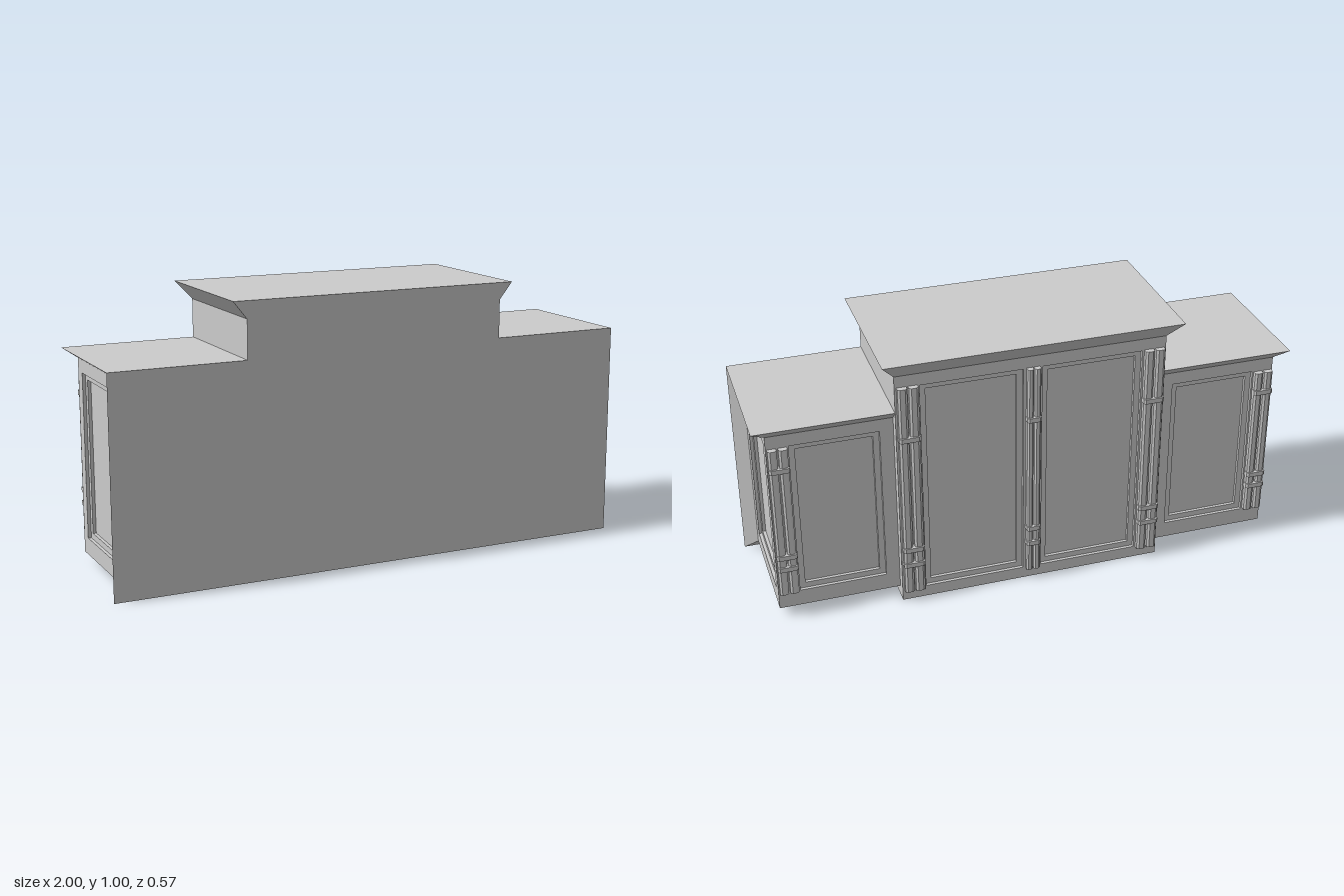
import * as THREE from 'three';
import { ConvexGeometry } from 'three/addons/geometries/ConvexGeometry.js';

const STEP = 0.012;   // depth of each panel step
const INSET = 0.022;  // width of the step around a panel
const material = new THREE.MeshStandardMaterial({ color: 0xcccccc, flatShading: true });

function add(parent, name, geometry) {
  const mesh = new THREE.Mesh(geometry, material);
  mesh.name = name;
  parent.add(mesh);
  return mesh;
}

// Box given by its ranges
function block(parent, name, x0, x1, y0, y1, z0, z1) {
  const geometry = new THREE.BoxGeometry(Math.abs(x1 - x0), y1 - y0, z1 - z0);
  geometry.translate((x0 + x1) / 2, (y0 + y1) / 2, (z0 + z1) / 2);
  return add(parent, name, geometry);
}

// Solid flaring from one box face to another; each end is [x0, x1, y0, y1, z0, z1] with one flat axis
function flare(parent, name, a, b) {
  const points = [];
  for (const r of [a, b])
    for (const x of new Set([r[0], r[1]]))
      for (const y of new Set([r[2], r[3]]))
        for (const z of new Set([r[4], r[5]])) points.push(new THREE.Vector3(x, y, z));
  return add(parent, name, new ConvexGeometry(points));
}

function rectangle(PathType, [u0, u1, v0, v1]) {
  return new PathType([[u0, v0], [u1, v0], [u1, v1], [u0, v1]].map(p => new THREE.Vector2(...p)));
}

// Two stacked frames facing local +z, leaving stepped recesses at the openings
function panelFrames(parent, name, rect, openings) {
  const group = new THREE.Group();
  group.name = name;
  for (let layer = 0; layer < 2; layer++) {
    const shape = rectangle(THREE.Shape, rect);
    const i = layer * INSET;
    for (const [a, b, c, d] of openings) {
      shape.holes.push(rectangle(THREE.Path, [a + i, b - i, c + i, d - i]));
    }
    const geometry = new THREE.ExtrudeGeometry(shape, { depth: STEP, bevelEnabled: false });
    geometry.translate(0, 0, -STEP * (layer + 1));
    add(group, layer ? 'innerFrame' : 'outerFrame', geometry);
  }
  parent.add(group);
  return group;
}

// Upright bar with chamfered face, standing out from z towards -z
function bar(parent, name, x, width, y0, y1, z, depth) {
  const h = width / 2;
  const c = Math.min(h * 0.5, 0.008);
  const profile = [[-h, -0.002], [h, -0.002], [h, depth - 0.006], [h - c, depth], [c - h, depth], [-h, depth - 0.006]];
  const shape = new THREE.Shape(profile.map(p => new THREE.Vector2(...p)));
  const geometry = new THREE.ExtrudeGeometry(shape, { depth: y1 - y0, bevelEnabled: false });
  geometry.rotateX(-Math.PI / 2);
  geometry.translate(x, y0, z);
  return add(parent, name, geometry);
}

// Pair of ridges held by three clasps
function post(parent, x, width, y0, y1, z, claspHeights) {
  const group = new THREE.Group();
  group.name = 'post';
  const ridge = width * 0.46;
  for (const s of [-1, 1]) bar(group, 'ridge', x + s * (width - ridge) / 2, ridge, y0, y1, z, 0.021);
  for (const y of claspHeights) bar(group, 'clasp', x, width + 0.004, y - 0.009, y + 0.009, z, 0.027);
  parent.add(group);
}

function createCentre() {
  const group = new THREE.Group();
  group.name = 'centreCabinet';
  block(group, 'centreBody', -0.5, 0.5, 0, 0.94, -0.235 + 2 * STEP, 0.285);
  const doors = panelFrames(group, 'centreDoors', [-0.5, 0.5, 0, 0.94],
    [[-0.41, -0.035, 0.045, 0.89], [0.035, 0.41, 0.045, 0.89]]);
  doors.rotation.y = Math.PI;
  doors.position.z = -0.235;
  for (const [x, width] of [[-0.455, 0.075], [0, 0.05], [0.455, 0.075]]) {
    post(group, x, width, 0.043, 0.893, -0.235, [0.692, 0.23, 0.165]);
  }
  flare(group, 'centreCornice', [-0.5, 0.5, 0.937, 0.937, -0.235, 0.285], [-0.55, 0.55, 1, 1, -0.285, 0.285]);
  return group;
}

// One wing; s is +1 or -1 for the side of x it stands on
function createWing(s) {
  const group = new THREE.Group();
  group.name = s > 0 ? 'leftWing' : 'rightWing';
  const inner = s * 0.5, outer = s * 0.95, rim = s;
  const front = -0.2, back = 0.25, low = 0.04, high = 0.76, d = 2 * STEP;
  block(group, 'wingBody', inner, outer - s * d, low, high, front + d, back);

  // Door on the ornamented face
  const door = panelFrames(group, 'wingDoor',
    [Math.min(-inner, -outer), Math.max(-inner, -outer), low, high],
    [s > 0 ? [-0.87, -0.55, 0.103, 0.712] : [0.55, 0.87, 0.103, 0.712]]);
  door.rotation.y = Math.PI;
  door.position.z = front;

  // Panel on the end face
  const end = panelFrames(group, 'endPanel',
    s > 0 ? [-back, -front - d, low, high] : [front + d, back, low, high],
    [s > 0 ? [-0.205, 0.155, 0.103, 0.712] : [-0.155, 0.205, 0.103, 0.712]]);
  end.rotation.y = s * Math.PI / 2;
  end.position.x = outer;

  post(group, s * 0.911, 0.07, 0.108, 0.71, front, [0.63, 0.27, 0.22]);

  // Flared top and wall flange
  flare(group, 'wingCornice', [inner, outer, high, high, front, back], [inner, rim, 0.795, 0.795, -0.235, 0.285]);
  flare(group, 'wallFlange', [inner, outer, low, high, back, back], [inner, rim, 0, 0.795, 0.285, 0.285]);
  return group;
}

export function createModel() {
  const model = new THREE.Group();
  model.name = 'sideboard';
  model.add(createCentre(), createWing(1), createWing(-1));
  return model;
}
